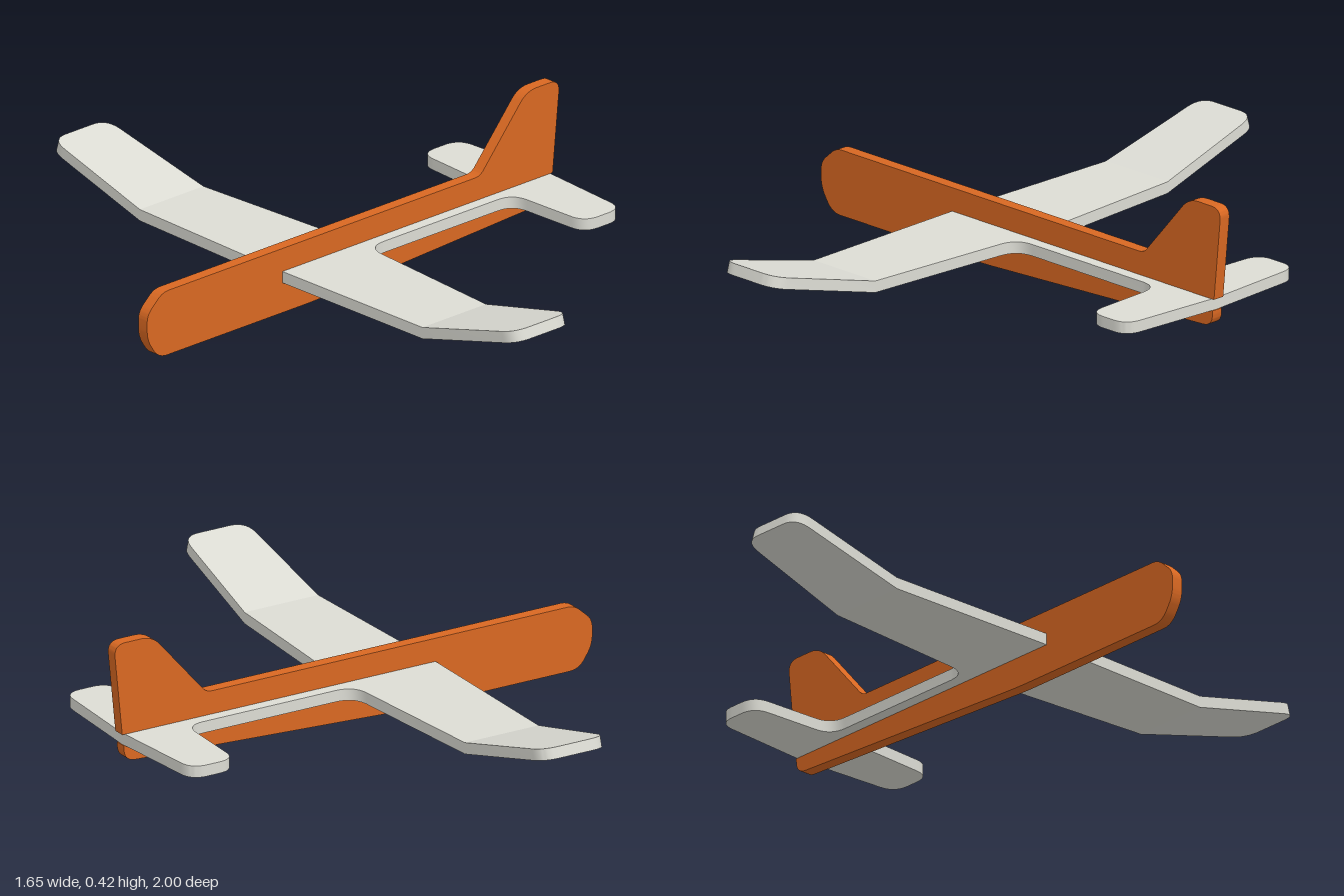
import * as THREE from 'three';
import { toCreasedNormals } from 'three/addons/utils/BufferGeometryUtils.js';

const THICK = 0.036, BOTTOM = 0.095, FOLD = 0.605, SLOPE = 0.265;

// Closed outline from [x, y, cornerRadius] points
function roundedShape(points) {
  const shape = new THREE.Shape();
  const n = points.length;
  points.forEach(([x, y, r = 0], i) => {
    const p = new THREE.Vector2(x, y);
    const towards = ([qx, qy]) =>
      new THREE.Vector2(qx, qy).sub(p).setLength(r).add(p);
    const a = r ? towards(points[(i + n - 1) % n]) : p;
    if (i === 0) shape.moveTo(a.x, a.y);
    else shape.lineTo(a.x, a.y);
    if (r) {
      const b = towards(points[(i + 1) % n]);
      shape.quadraticCurveTo(x, y, b.x, b.y);
    }
  });
  shape.closePath();
  return shape;
}

function extrude(points, depth) {
  return new THREE.ExtrudeGeometry(roundedShape(points), { depth, bevelEnabled: false, curveSegments: 10 });
}

// Horizontal sheet: outline y becomes z
function sheet(points) {
  return extrude(points, THICK).rotateX(Math.PI / 2).translate(0, BOTTOM + THICK, 0);
}

export function createModel() {
  const model = new THREE.Group();
  const orange = new THREE.MeshStandardMaterial({ color: 0xd96822 });
  const white = new THREE.MeshStandardMaterial({ color: 0xdcdcd4 });
  orange.name = 'orange foam';
  white.name = 'white foam';

  const add = (name, geometry, material) => {
    const mesh = new THREE.Mesh(toCreasedNormals(geometry, 0.45), material);
    mesh.name = name;
    model.add(mesh);
  };

  // Flat fuselage with fin, notched at the tail for the sheet
  const body = extrude([
    [-0.827, 0.07, 0.03], [-0.782, 0, 0.035], [-0.16, 0, 0.05], [0.793, 0.046, 0.04],
    [0.793, BOTTOM], [0.78, BOTTOM], [0.78, BOTTOM + THICK], [0.799, BOTTOM + THICK],
    [0.828, 0.42, 0.04], [0.695, 0.42, 0.04], [0.508, 0.204, 0.02],
    [-0.765, 0.204, 0.025], [-0.827, 0.148, 0.025],
  ], 0.038).translate(0, 0, -0.019);
  add('fuselageAndFin', body, orange);

  // Wing centre, spar and tailplane in one sheet
  const half = [
    [-0.272, FOLD], [-0.017, FOLD], [0.022, 0.057, 0.065], [0.602, 0.057, 0.06],
    [0.617, 0.35, 0.055], [0.767, 0.35, 0.055], [0.791, 0],
  ];
  const mirrored = half.slice(0, -1).reverse().map(([x, z, r]) => [x, -z, r]);
  add('wingAndTailplane', sheet([[-0.285, 0], ...half, ...mirrored]), white);

  // Upturned wing tips
  for (const side of [1, -1]) {
    const tip = sheet([
      [-0.272, side * FOLD], [-0.017, side * FOLD],
      [-0.045, side * 1.0, 0.055], [-0.263, side * 1.0, 0.055],
    ]);
    const p = tip.attributes.position;
    for (let i = 0; i < p.count; i++) {
      const out = Math.abs(p.getZ(i)) - FOLD;
      const lean = SLOPE * (p.getY(i) - BOTTOM) * Math.min(1, out / 0.3);
      p.setZ(i, side * (FOLD + out - lean));
      p.setY(i, p.getY(i) + SLOPE * (out - lean));
    }
    add(side > 0 ? 'wingTipFront' : 'wingTipBack', tip, white);
  }
  return model;
}
